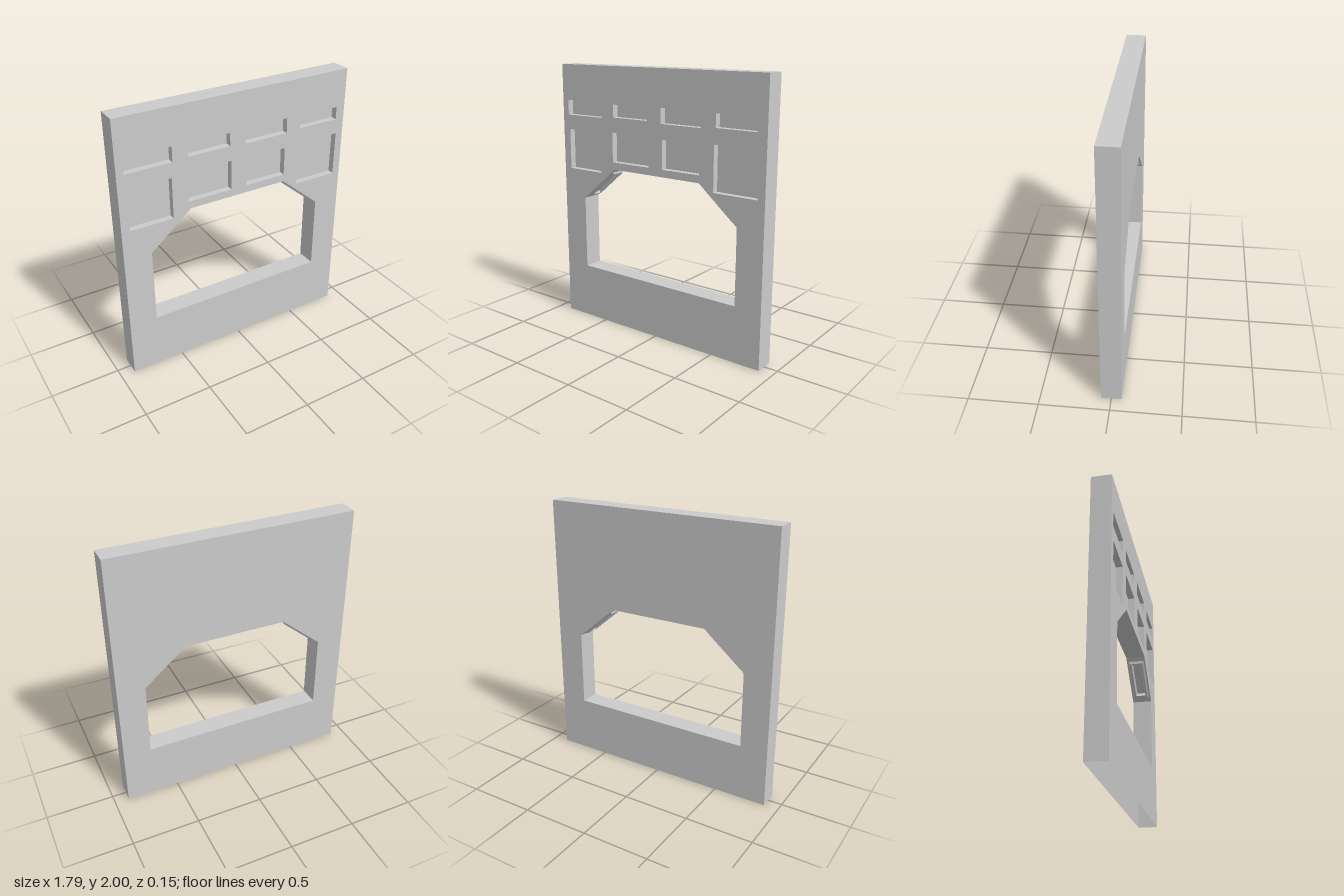
import * as THREE from 'three';

const W = 0.895, H = 2, D = 0.0735, POCKET = 0.048;
const material = new THREE.MeshStandardMaterial({ color: 0xcccccc, flatShading: true, side: THREE.DoubleSide });

// Opening outline, clockwise from lower left
const opening = [[-0.69, 0.42], [-0.69, 0.98], [-0.38, 1.24], [0.38, 1.24], [0.69, 0.98], [0.69, 0.42]];

// Front pockets: left, right, bottom, top
const pockets = [
  [-0.842, -0.503, 1.618, 1.73], [-0.387, -0.069, 1.629, 1.724],
  [0.053, 0.392, 1.618, 1.73], [0.508, 0.826, 1.629, 1.724],
  [-0.832, -0.514, 1.2, 1.507], [-0.397, -0.058, 1.295, 1.517],
  [0.064, 0.381, 1.295, 1.507], [0.498, 0.837, 1.189, 1.517],
];

function mesh(name, geometry) {
  const m = new THREE.Mesh(geometry, material);
  m.name = name;
  return m;
}

// Quads joining each row of corners to the next
function bridge(rows, closed, capLast = false) {
  const pos = [];
  const quad = (a, b, c, d) => pos.push(...a, ...b, ...c, ...a, ...c, ...d);
  for (let r = 0; r + 1 < rows.length; r++) {
    const a = rows[r], b = rows[r + 1], n = a.length;
    for (let i = 0; i < (closed ? n : n - 1); i++) {
      const j = (i + 1) % n;
      quad(a[i], a[j], b[j], b[i]);
    }
  }
  if (capLast) quad(...rows[rows.length - 1]);
  const g = new THREE.BufferGeometry();
  g.setAttribute('position', new THREE.Float32BufferAttribute(pos, 3));
  g.computeVertexNormals();
  return g;
}

const atZ = (points, z) => points.map(([x, y]) => [x, y, z]);
const wall = (points, z0, z1, closed = false) => bridge([atZ(points, z0), atZ(points, z1)], closed);
const path = (points) => new THREE.Path(points.map(([x, y]) => new THREE.Vector2(x, y)));
const rect = ([l, r, b, t]) => [[l, b], [l, t], [r, t], [r, b]];

function face(holes) {
  const s = new THREE.Shape();
  s.moveTo(-W, 0).lineTo(W, 0).lineTo(W, H).lineTo(-W, H).closePath();
  s.holes = holes.map(path);
  return new THREE.ShapeGeometry(s);
}

export function createModel() {
  const model = new THREE.Group();
  model.name = 'wallPanel';

  // Front and back skins
  model.add(mesh('frontFace', face([opening, ...pockets.map(rect)]).translate(0, 0, D)));
  model.add(mesh('backFace', face([opening]).rotateY(Math.PI).translate(0, 0, -D)));

  // Outer edges, open underneath
  model.add(mesh('outerEdge', wall([[W, 0], [W, H], [-W, H], [-W, 0]], -D, D)));

  // Straight sides of the opening
  model.add(mesh('openingTop', wall([opening[2], opening[3]], -D, D)));
  model.add(mesh('openingSides', wall([opening[4], opening[5], opening[0], opening[1]], -D, D)));

  // Recessed pockets
  for (const p of pockets) {
    const [l, r, b, t] = p;
    const g = new THREE.Group();
    g.name = 'pocket';
    g.add(mesh('pocketSides', wall(rect(p), D - POCKET, D, true)));
    g.add(mesh('pocketFloor',
      new THREE.PlaneGeometry(r - l, t - b).translate((l + r) / 2, (b + t) / 2, D - POCKET)));
    model.add(g);
  }

  // Sloped corners with a raised, hollow rim: half length, half width, height
  const half = Math.hypot(0.31, 0.26) / 2;
  const steps = [[half, D, 0], [0.165, 0.062, 0], [0.15, 0.05, 0.016], [0.138, 0.038, 0.016], [0.13, 0.03, -0.012]];
  const rows = steps.map(([x, z, y]) => [[-x, y, z], [x, y, z], [x, y, -z], [-x, y, -z]]);
  for (const side of [1, -1]) {
    const corner = mesh(side > 0 ? 'leftCornerRim' : 'rightCornerRim', bridge(rows, true, true));
    corner.position.set(side * 0.535, 1.11, 0);
    corner.rotation.z = side * Math.atan2(0.26, -0.31);
    model.add(corner);
  }
  return model;
}
